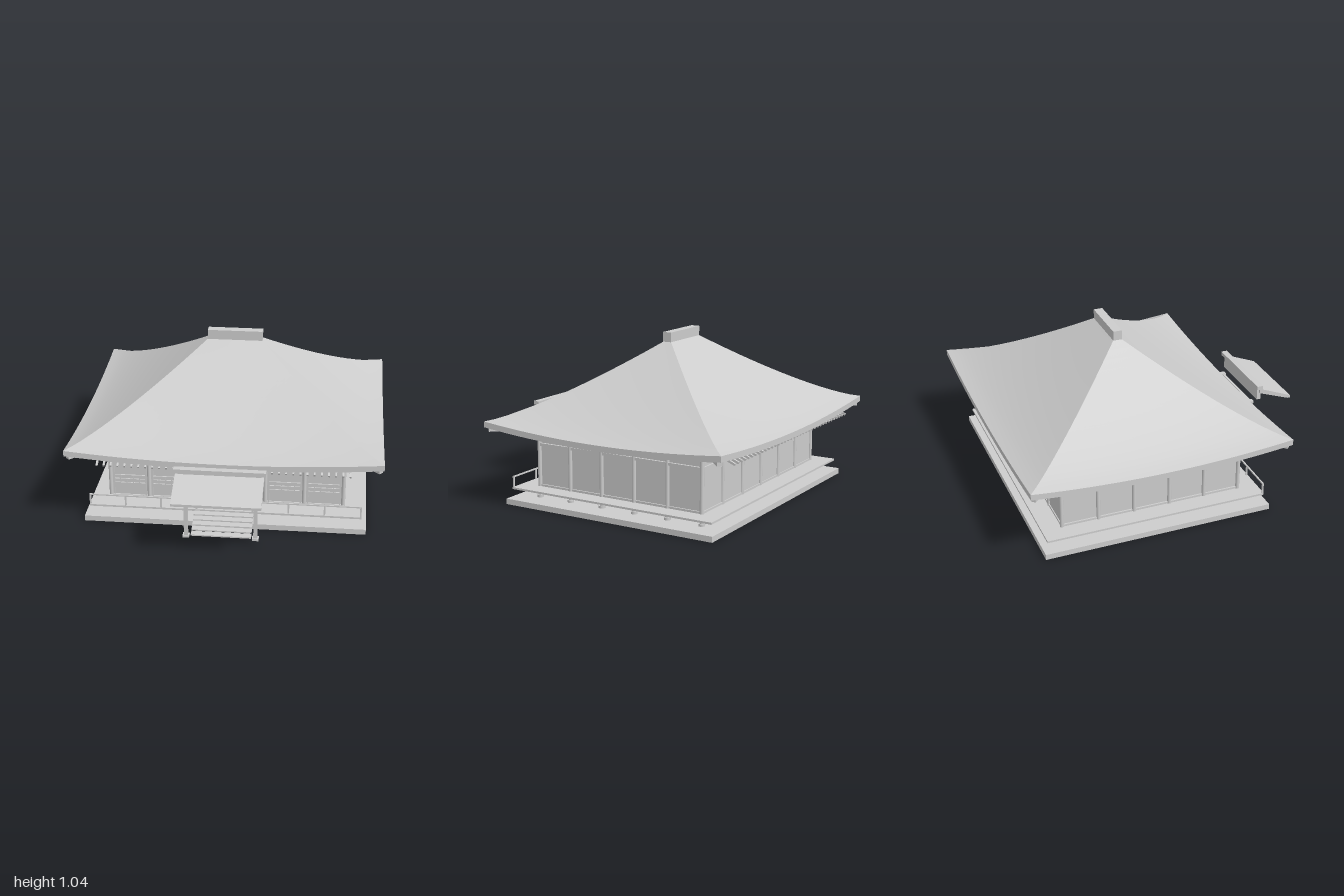
import * as THREE from 'three';

export function createModel() {
  const root = new THREE.Group();
  root.name = 'templeHall';
  const grey = new THREE.MeshStandardMaterial({ color: 0xcccccc });
  grey.name = 'paleGrey';
  const CZ = -0.175; // centre of the hall in z

  const group = (name, parent = root) => {
    const g = new THREE.Group();
    g.name = name;
    parent.add(g);
    return g;
  };
  const add = (name, geo, parent = root) => {
    const m = new THREE.Mesh(geo, grey);
    m.name = name;
    parent.add(m);
    return m;
  };
  // Box given by its extents on each axis
  const box = (name, x0, x1, y0, y1, z0, z1, parent) => {
    const m = add(name, new THREE.BoxGeometry(x1 - x0, y1 - y0, z1 - z0), parent);
    m.position.set((x0 + x1) / 2, (y0 + y1) / 2, (z0 + z1) / 2);
    return m;
  };
  const post = (name, x, z, r, y0, y1, parent) => {
    const m = add(name, new THREE.CylinderGeometry(r, r, y1 - y0, 12), parent);
    m.position.set(x, (y0 + y1) / 2, z);
    return m;
  };

  // Plinth and raised deck
  box('plinth', -0.88, 0.88, 0, 0.035, -0.9, 0.553);
  box('deck', -0.85, 0.85, 0.093, 0.105, -0.878, 0.527);

  // Hall walls
  const hall = group('hall');
  box('wallCore', -0.728, 0.728, 0.1, 0.45, -0.75, 0.395, hall);
  const xs = [-3, -2, -1, 0, 1, 2, 3].map(i => i * 0.2445);
  const zs = [0, 1, 2, 3, 4, 5].map(i => 0.4 - i * 0.23);
  const pillar = (x, z) => {
    post('pillar', x, z, 0.0125, 0.035, 0.45, hall);
    post('pillarFoot', x, z, 0.02, 0.035, 0.05, hall);
  };
  for (const x of xs) { pillar(x, 0.4); pillar(x, -0.75); }
  for (const z of zs.slice(1, -1)) { pillar(-0.7335, z); pillar(0.7335, z); }

  // Horizontal beams around the walls
  for (const [y0, y1, out] of [[0.105, 0.118, 0.006], [0.363, 0.38, 0.01], [0.438, 0.455, 0.014]]) {
    const X = 0.732 + out, zf = 0.4 + out, zb = -0.75 - out;
    box('frontBeam', -X, X, y0, y1, 0.39, zf, hall);
    box('backBeam', -X, X, y0, y1, zb, -0.74, hall);
    for (const s of [-1, 1])
      box('sideBeam', Math.min(s * X, s * 0.72), Math.max(s * X, s * 0.72), y0, y1, zb, zf, hall);
  }

  // Lattice band and frames in each front bay
  const lattice = group('frontLattice', hall);
  for (let b = 0; b < 6; b++) {
    const a = xs[b] + 0.022, c = xs[b + 1] - 0.022;
    for (const y of [0.2, 0.227, 0.254])
      box('latticeRail', a, c, y - 0.003, y + 0.003, 0.393, 0.404, lattice);
    for (let i = 0; i <= 5; i++) {
      const x = a + (c - a) * i / 5;
      box('latticeBar', x - 0.003, x + 0.003, 0.2, 0.254, 0.393, 0.403, lattice);
    }
    for (const x of [a, c]) box('bayFrame', x - 0.004, x + 0.004, 0.105, 0.365, 0.393, 0.404, lattice);
    box('bayHead', a, c, 0.355, 0.363, 0.393, 0.404, lattice);
  }

  // Hipped roof: four curved slopes, each with top, eave edge and underside
  const roof = group('mainRoof');
  const EAVE = 0.036;
  const roofHeight = (t, s) =>
    0.53 + 0.45 * Math.pow(t, 1.3) - 0.045 * (1 - s * s) * (1 - t) * (1 - t);
  const slope = (name, turn, kind) => {
    const g = new THREE.PlaneGeometry(2, 1, 20, kind === 'edge' ? 1 : 16);
    const p = g.attributes.position;
    const side = turn % 2;
    const [w0, w1] = side ? [0.82, 0.0275] : [0.97, 0.175];
    const [d0, d1] = side ? [0.97, 0.175] : [0.82, 0.0275];
    for (let i = 0; i < p.count; i++) {
      const v = p.getY(i) + 0.5;
      const s = kind === 'under' ? -p.getX(i) : p.getX(i);
      const t = kind === 'edge' ? 0 : v;
      const drop = kind === 'under' ? EAVE : kind === 'edge' ? EAVE * (1 - v) : 0;
      p.setXYZ(i, s * (w0 + (w1 - w0) * t), roofHeight(t, s) - drop, d0 + (d1 - d0) * t);
    }
    g.rotateY(turn * Math.PI / 2);
    g.translate(0, 0, CZ - 0.005);
    g.computeVertexNormals();
    add(name, g, roof);
  };
  for (let k = 0; k < 4; k++) {
    slope('roofSlope', k, 'top');
    slope('eaveEdge', k, 'edge');
    slope('roofUnderside', k, 'under');
  }
  box('ridgeCap', -0.176, 0.176, 0.972, 1.04, -0.207, -0.15, roof);

  // Hip rafter ends under the corners
  for (const sx of [-1, 1]) for (const sz of [-1, 1]) {
    const m = add('hipRafter', new THREE.BoxGeometry(0.03, 0.035, 0.1), roof);
    m.position.set(sx * 0.915, 0.485, CZ - 0.005 + sz * 0.765);
    m.rotation.set(0, Math.atan2(sx, sz), 0);
  }

  // Sloping rafters along the front and back eaves
  const rafters = group('rafters');
  const tilt = Math.atan(0.42), len = 0.25;
  for (const s of [-1, 1]) for (let i = -18; i <= 18; i++) {
    const m = add('rafter', new THREE.BoxGeometry(0.011, 0.013, len), rafters);
    m.position.set(i * 0.0428, 0.436 + Math.sin(tilt) * len / 2,
      CZ + s * (0.805 - Math.cos(tilt) * len / 2));
    m.rotation.x = s * tilt;
  }

  // Front railing on both sides of the steps
  const railing = group('railing');
  for (const s of [-1, 1]) {
    const a = s < 0 ? -0.85 : 0.17, b = a + 0.68;
    box('handRail', a, b, 0.168, 0.176, 0.515, 0.524, railing);
    for (let i = 0; i <= 3; i++) {
      const x = a + 0.005 + 0.67 * i / 3;
      box('railPost', x - 0.005, x + 0.005, 0.105, 0.17, 0.515, 0.524, railing);
    }
  }

  // Offering box on the deck
  box('offeringBox', -0.077, 0.075, 0.105, 0.17, 0.43, 0.495);

  // Open steps
  const steps = group('steps');
  for (let i = 0; i < 5; i++) {
    const z = 0.735 - i * 0.037, y = 0.038 + i * 0.0145;
    box('tread', -0.185, 0.185, y, y + 0.008, z - 0.046, z, steps);
  }

  // Porch pillars, beam and lean-to roof
  const porch = group('porch');
  for (const s of [-1, 1]) {
    const x = s * 0.212;
    box('porchPillar', x - 0.012, x + 0.012, 0.04, 0.39, 0.724, 0.748, porch);
    box('porchPillarFoot', x - 0.02, x + 0.02, 0.036, 0.05, 0.716, 0.756, porch);
    box('porchPillarCap', x - 0.016, x + 0.016, 0.375, 0.39, 0.72, 0.752, porch);
  }
  box('porchBeam', -0.225, 0.225, 0.368, 0.385, 0.728, 0.744, porch);
  box('porchRoofBeam', -0.25, 0.25, 0.412, 0.497, 0.762, 0.788, porch);
  box('porchRidge', -0.277, 0.275, 0.495, 0.52, 0.75, 0.79, porch);
  // Roof slab drawn in side profile (z, y) and extruded across x
  const prof = new THREE.Shape([[-1.0, 0.388], [-0.98, 0.388], [-0.775, 0.463],
    [-0.775, 0.495], [-1.0, 0.404]].map(([a, b]) => new THREE.Vector2(a, b)));
  const slab = new THREE.ExtrudeGeometry(prof, { depth: 0.53, bevelEnabled: false });
  slab.rotateY(Math.PI / 2);
  slab.translate(-0.265, 0, 0);
  add('porchRoof', slab, porch);

  return root;
}
